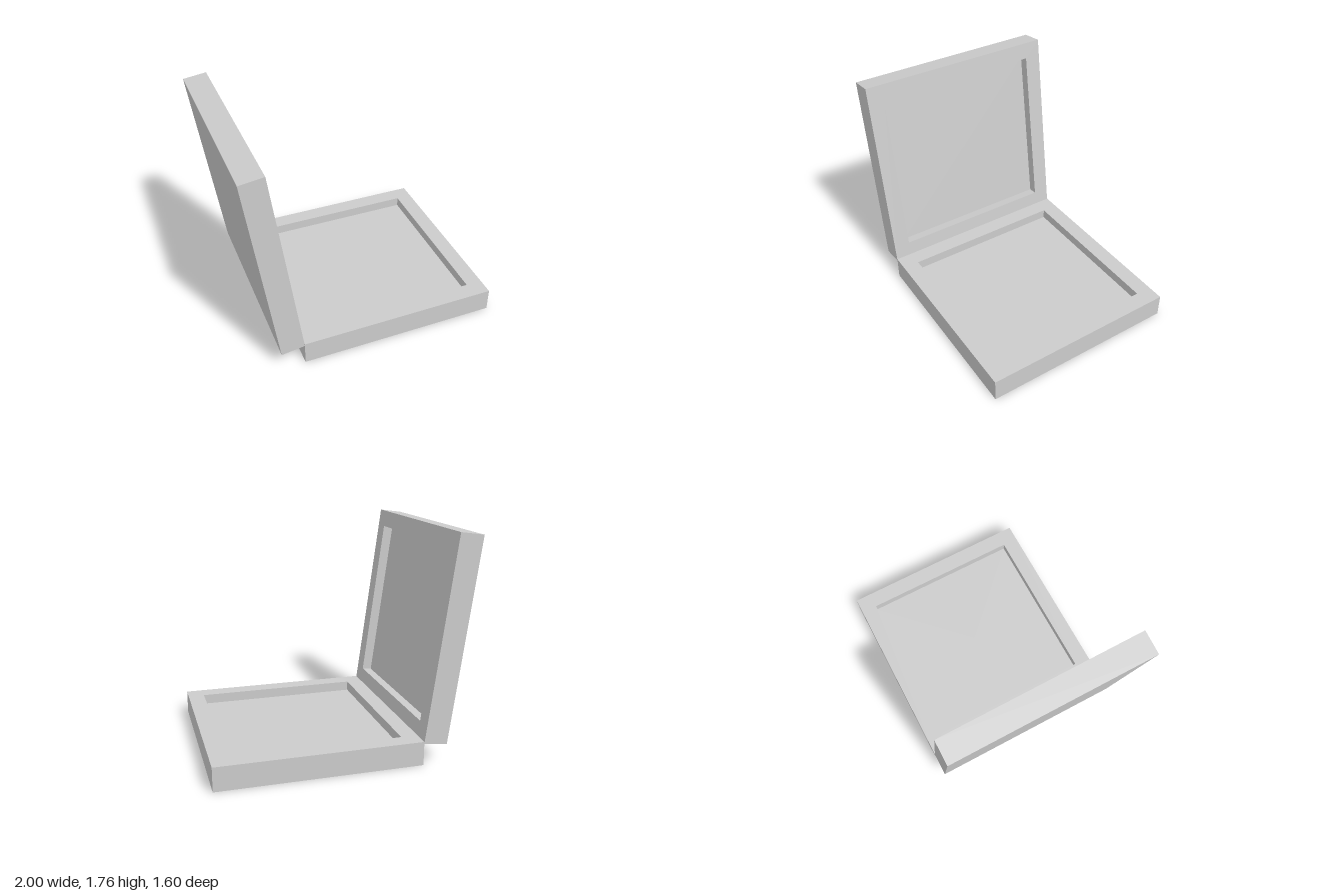
import * as THREE from 'three';

const SIDE = 1.6;      // outer width of each square half
const OPENING = 1.334; // width of the recess
const DEPTH = 0.08;    // depth of the recess

const material = new THREE.MeshStandardMaterial({ color: 0xcccccc, flatShading: true });

// Square tray with a recessed top: a stepped profile turned with four sides
function makeTray(name, height) {
  const k = Math.SQRT1_2; // half width to corner radius
  const profile = [
    [0, 0],
    [SIDE * k, 0],
    [SIDE * k, height],
    [OPENING * k, height],
    [OPENING * k, height - DEPTH],
    [0, height - DEPTH],
  ].map(([r, y]) => new THREE.Vector2(r, y));
  const turned = new THREE.LatheGeometry(profile, 4).rotateY(Math.PI / 4);
  const geometry = turned.toNonIndexed();
  geometry.computeVertexNormals();
  const mesh = new THREE.Mesh(geometry, material);
  mesh.name = name;
  return mesh;
}

export function createModel() {
  const model = new THREE.Group();
  model.name = 'openCase';

  // Base lying flat, recess up
  const base = makeTray('base', 0.19);
  base.position.x = 0.2;
  model.add(base);

  // Lid swung open about the hinge edge, recess facing the base
  const lidThickness = 0.187;
  const hinge = new THREE.Group();
  hinge.name = 'lidHinge';
  hinge.position.set(-0.6, 0.175, 0);
  hinge.rotation.z = THREE.MathUtils.degToRad(-82.28);
  const lid = makeTray('lid', lidThickness);
  lid.position.set(-SIDE / 2, -lidThickness, 0);
  hinge.add(lid);
  model.add(hinge);

  return model;
}
